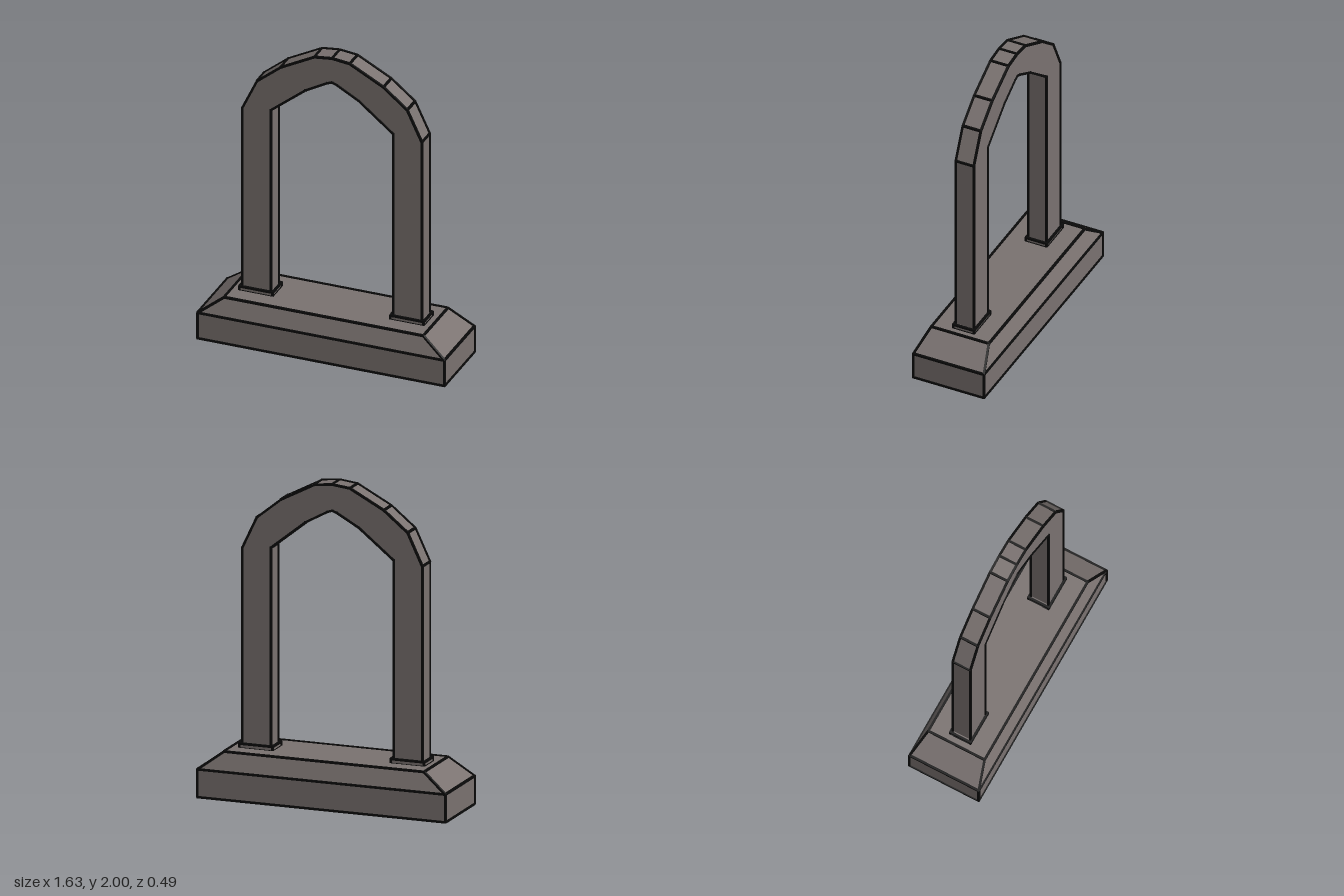
import * as THREE from 'three';

const stone = new THREE.MeshStandardMaterial({ color: 0x7a7270, flatShading: true });
const ink = new THREE.MeshStandardMaterial({ color: 0x0a0a0a });
const EDGE = 0.007;

// Adds a stone part together with thin dark bars along its sharp edges
function addPart(parent, name, geometry) {
  const part = new THREE.Group();
  part.name = name;
  const body = new THREE.Mesh(geometry, stone);
  body.name = name + 'Body';
  part.add(body);

  const ends = new THREE.EdgesGeometry(geometry, 4).attributes.position;
  const a = new THREE.Vector3(), b = new THREE.Vector3();
  for (let i = 0; i < ends.count; i += 2) {
    a.fromBufferAttribute(ends, i);
    b.fromBufferAttribute(ends, i + 1);
    const length = a.distanceTo(b);
    const bar = new THREE.Mesh(new THREE.BoxGeometry(EDGE * 2, EDGE * 2, length + EDGE), ink);
    bar.name = name + 'Edge';
    bar.position.copy(a).add(b).multiplyScalar(0.5);
    bar.lookAt(b);
    part.add(bar);
  }
  parent.add(part);
  return part;
}

// Plinth: straight lower block with a sloped upper half
function plinthGeometry() {
  const geometry = new THREE.BoxGeometry(1.61, 2, 0.474, 1, 2, 1);
  const p = geometry.attributes.position;
  for (let i = 0; i < p.count; i++) {
    const level = Math.round(p.getY(i)) + 1;
    p.setY(i, [0.007, 0.18, 0.295][level]);
    if (level === 2) {
      p.setX(i, Math.sign(p.getX(i)) * 0.65);
      p.setZ(i, Math.sign(p.getZ(i)) * 0.193);
    }
  }
  geometry.computeVertexNormals();
  return geometry;
}

// Pointed arch: outer and inner half profiles mirrored about the middle
function archGeometry() {
  const outer = [[0.585, 0.29], [0.585, 1.54], [0.49, 1.74], [0.335, 1.865], [0.115, 1.98]];
  const inner = [[0.4, 0.29], [0.4, 1.56], [0.175, 1.74], [0.03, 1.82]];
  const mirror = (points) => points.map(([x, y]) => [-x, y]);
  const outline = [
    ...outer, [0, 1.993], ...mirror(outer).reverse(),
    ...mirror(inner), [0, 1.83], ...inner.slice().reverse(),
  ];
  const shape = new THREE.Shape(outline.map(([x, y]) => new THREE.Vector2(x, y)));
  const geometry = new THREE.ExtrudeGeometry(shape, { depth: 0.12, bevelEnabled: false });
  return geometry.translate(0, 0, -0.06);
}

export function createModel() {
  const model = new THREE.Group();
  model.name = 'archway';
  addPart(model, 'plinth', plinthGeometry());
  addPart(model, 'arch', archGeometry());

  // Low collars around the feet of the arch
  for (const [name, side] of [['leftCollar', 1], ['rightCollar', -1]]) {
    const collar = new THREE.BoxGeometry(0.216, 0.03, 0.138);
    collar.translate(side * 0.493, 0.305, 0);
    addPart(model, name, collar);
  }
  return model;
}
